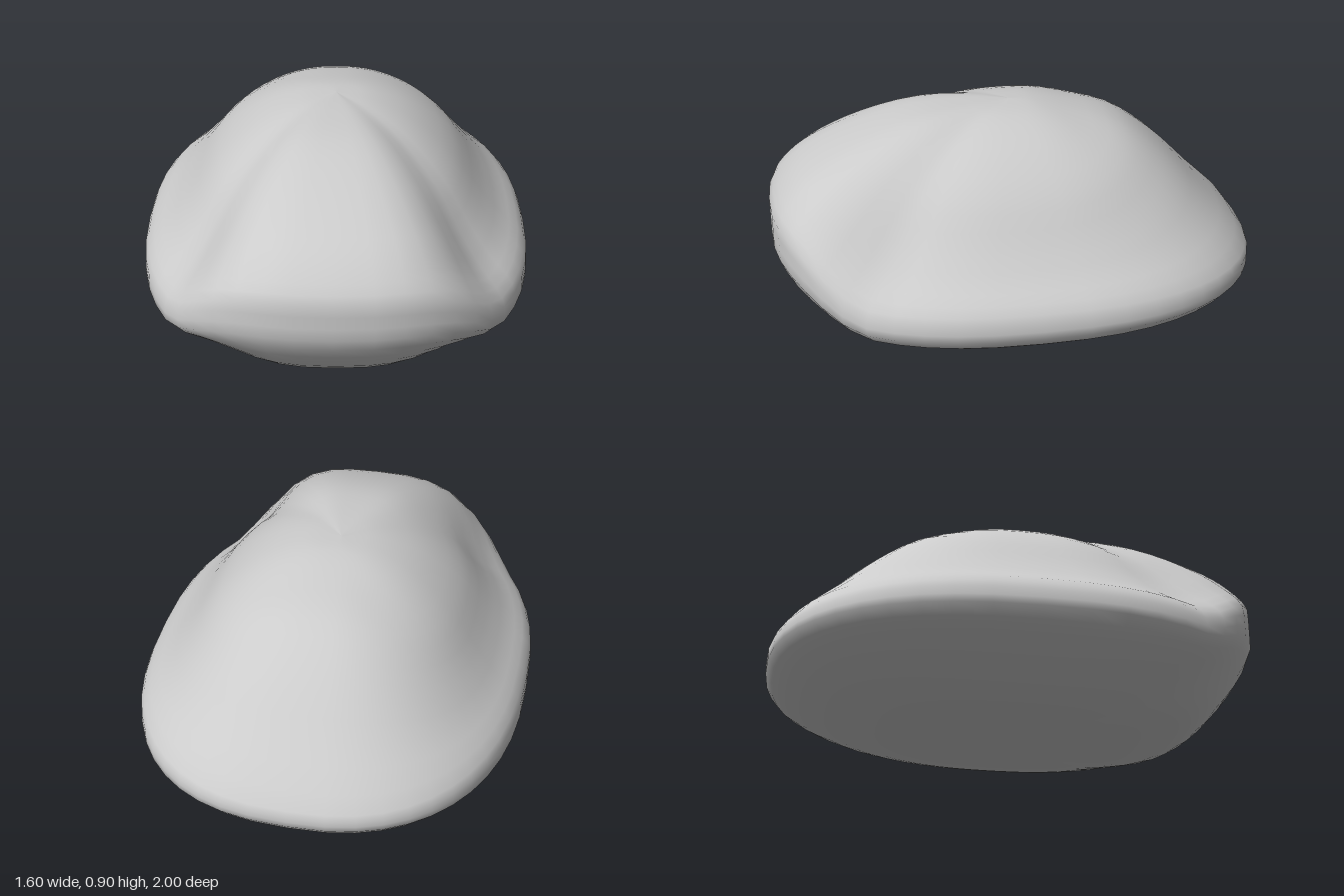
import * as THREE from 'three';

// Profiles from bottom centre over the rim to the crown: [fraction of outline, height]
const side = [[0, 0], [.25, 0], [.4, .012], [.56, .03], [.82, .12], [1, .23], [.98, .33],
  [.86, .42], [.75, .52], [.6, .68], [.4, .81], [.19, .88], [0, .895]];
const back = [[0, 0], [.25, .01], [.5, .02], [.68, .05], [.88, .13], [1, .23], [.99, .3],
  [.8, .5], [.62, .68], [.45, .8], [.25, .86], [.1, .89], [0, .895]];
const front = [[0, 0], [.25, 0], [.52, .01], [.74, .06], [.9, .2], [1, .37], [1, .52],
  [.93, .62], [.83, .7], [.63, .8], [.4, .875], [.17, .895], [0, .895]];

const spow = (v, p) => Math.sign(v) * Math.abs(v) ** p;

// Blend of the profiles around the body; the rim arches up only at the front
function profileAt(angle) {
  const c = Math.cos(angle);
  const end = c > 0 ? front : back;
  const w = c > 0 ? THREE.MathUtils.smoothstep(c, 0.6, 1) : c * c;
  return new THREE.CatmullRomCurve3(side.map(([f, y], i) => new THREE.Vector3(
    THREE.MathUtils.lerp(f, end[i][0], w), THREE.MathUtils.lerp(y, end[i][1], w), 0)));
}

export function createModel() {
  const around = 48, rows = 36;
  const pos = [], index = [];
  for (let a = 0; a < around; a++) {
    const angle = a / around * Math.PI * 2;
    const x = 0.8 * spow(Math.sin(angle), 0.82), z = spow(Math.cos(angle), 0.82);
    const curve = profileAt(angle);
    for (let r = 0; r <= rows; r++) {
      const p = curve.getPoint(r / rows);
      const f = Math.min(1, p.x);
      pos.push(x * f, Math.max(0, p.y), z * f);
      if (r === rows) continue;
      const i = a * (rows + 1) + r, j = ((a + 1) % around) * (rows + 1) + r;
      if (r > 0) index.push(i, j, i + 1);
      if (r < rows - 1) index.push(j, j + 1, i + 1);
      // close the fan at the bottom centre
      if (r === 0) index.splice(index.length - 3, 3, i, j + 1, i + 1);
    }
  }
  const geometry = new THREE.BufferGeometry();
  geometry.setAttribute('position', new THREE.Float32BufferAttribute(pos, 3));
  geometry.setIndex(index);
  geometry.computeVertexNormals();

  const shell = new THREE.Mesh(geometry, new THREE.MeshStandardMaterial({ color: 0xcccccc }));
  shell.name = 'shell';
  const group = new THREE.Group();
  group.name = 'roundedShell';
  group.add(shell);
  return group;
}
